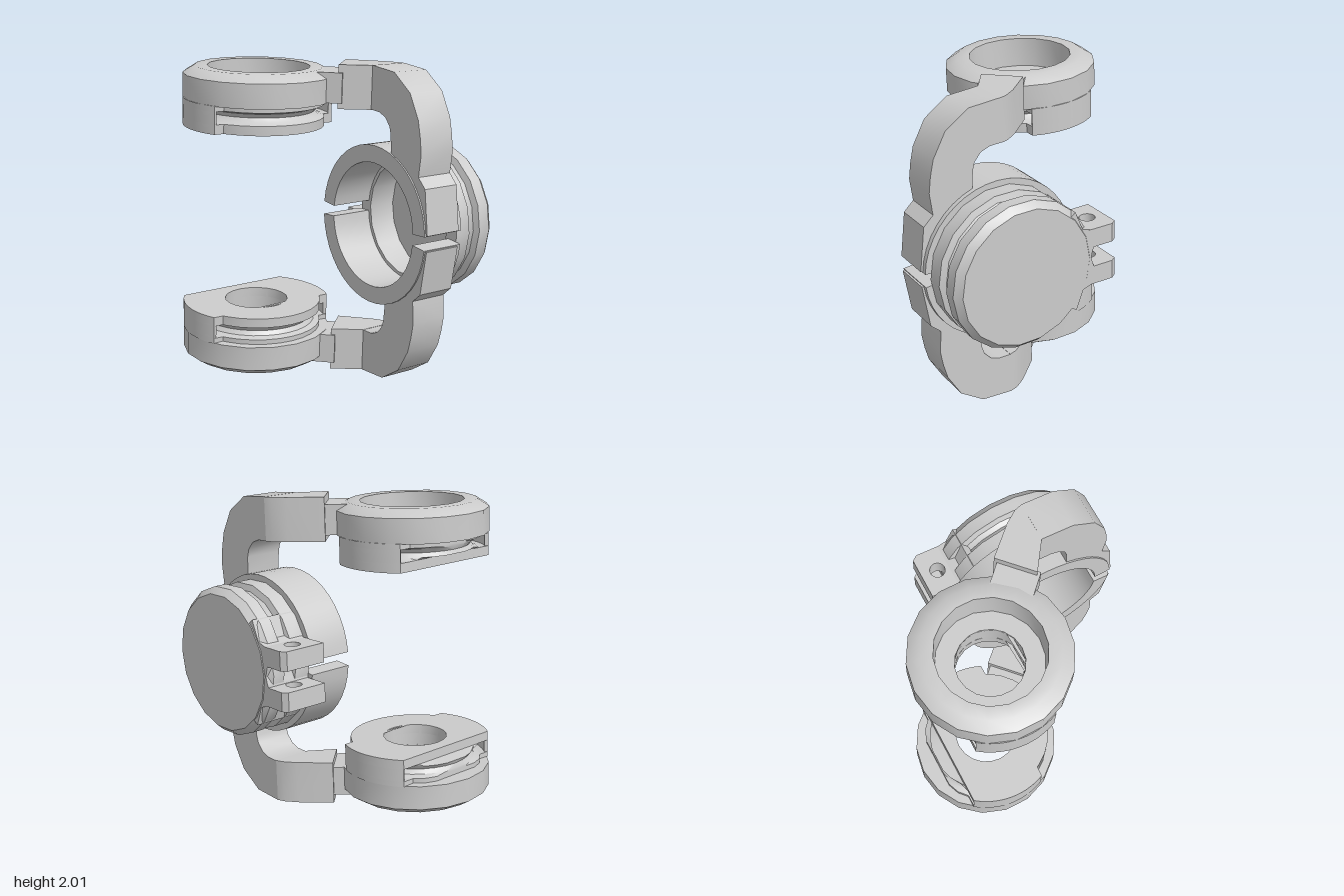
import * as THREE from 'three';
import { toCreasedNormals } from 'three/addons/utils/BufferGeometryUtils.js';

const HUB_Z = 0.31;                 // centre of the side hub
const RING_X = -0.29, RING_Z = -0.32; // centre of the two clamp rings
const pts = (list) => list.map(([a, b]) => new THREE.Vector2(a, b));
const polygon = (list) => new THREE.Shape(pts(list));

// Shape drawn in (z, y), extruded along x
function extrudeX(shape, x0, x1) {
  const g = new THREE.ExtrudeGeometry(shape, { depth: x1 - x0, bevelEnabled: false, curveSegments: 10 });
  return g.rotateY(-Math.PI / 2).translate(x1, 0, 0);
}

// Shape drawn in (x, -z), extruded along y
function extrudeY(shape, y0, y1) {
  const g = new THREE.ExtrudeGeometry(shape, { depth: y1 - y0, bevelEnabled: false, curveSegments: 10 });
  return g.rotateX(-Math.PI / 2).translate(0, y0, 0);
}

function circleHole(x, y, r) {
  const p = new THREE.Path();
  p.absarc(x, y, r, 0, Math.PI * 2, true);
  return p;
}

// Part of a flat ring between two angles
function sector(rIn, rOut, a0, a1) {
  const s = new THREE.Shape();
  s.absarc(0, 0, rOut, a0, a1, false);
  s.absarc(0, 0, rIn, a1, a0, true);
  s.closePath();
  return s;
}

// Mirror a non-indexed geometry in y and restore the corner order
function mirrorY(geometry) {
  const g = geometry.clone().scale(1, -1, 1);
  for (const key of ['position', 'normal']) {
    const a = g.attributes[key].array;
    for (let i = 0; i < a.length; i += 9) {
      for (let k = 3; k < 6; k++) [a[i + k], a[i + k + 3]] = [a[i + k + 3], a[i + k]];
    }
  }
  return g;
}

export function createModel() {
  const material = new THREE.MeshStandardMaterial({ color: 0xcccccc });
  const model = new THREE.Group();
  model.name = 'clampBracket';
  const body = new THREE.Group();
  body.name = 'bracketBody';
  body.position.y = 1;
  body.rotation.x = 0.042;
  model.add(body);

  const add = (name, geometry) => {
    const g = toCreasedNormals(geometry, 0.6);
    g.deleteAttribute('uv');
    const mesh = new THREE.Mesh(g, material);
    mesh.name = name;
    body.add(mesh);
    return g;
  };
  // Everything but the hub disc comes as an upper and a lower copy
  const addPair = (name, geometry) => {
    const g = add('upper' + name, geometry);
    const mesh = new THREE.Mesh(mirrorY(g), material);
    mesh.name = 'lower' + name;
    body.add(mesh);
  };

  // Hub disc: closed outside, bored from the inside, with a strap groove
  const disc = new THREE.LatheGeometry(pts([
    [0, 0.64], [0.38, 0.64], [0.38, 0.45], [0.475, 0.45], [0.475, 0.555],
    [0.435, 0.568], [0.415, 0.595], [0.435, 0.625], [0.475, 0.64],
    [0.475, 0.72], [0.435, 0.765], [0, 0.765],
  ]), 18);
  add('hubDisc', disc.rotateZ(-Math.PI / 2).translate(0, 0, HUB_Z));

  // Split collar behind the disc
  const gap = 0.085;
  addPair('Collar', extrudeX(sector(0.4, 0.51, gap, Math.PI - gap), 0.16, 0.452).translate(0, 0, HUB_Z));

  // Pierced lugs beside the slot of the hub, and their flared roots
  const lug = polygon([[0.46, 0.11], [0.76, 0.11], [0.765, 0.29], [0.74, 0.325], [0.46, 0.325]]);
  lug.holes.push(circleHole(0.61, 0.215, 0.05));
  addPair('Lug', extrudeY(lug, 0.065, 0.185));
  addPair('LugRoot', extrudeX(polygon([
    [-0.14, 0], [-0.15, 0.04], [-0.16, 0.066], [-0.14, 0.185], [-0.08, 0.205],
    [-0.03, 0.33], [0.013, 0.297], [-0.07, 0.177], [-0.11, 0],
  ]), 0.46, 0.76));

  // Curved arm rising from a pad on the collar
  addPair('Arm', extrudeX(polygon([
    [0.795, 0.05], [0.83, 0.05], [0.79, 0.33], [0.725, 0.39], [0.74, 0.53], [0.725, 0.63],
    [0.7, 0.73], [0.615, 0.88], [0.46, 0.985], [0.25, 1.0], [0.25, 0.725], [0.33, 0.722],
    [0.39, 0.7], [0.435, 0.65], [0.45, 0.6], [0.46, 0.47], [0.64, 0.36], [0.75, 0.21],
  ]), 0.17, 0.42));

  // Sideways bend of the arm and the neck onto the clamp ring
  addPair('ArmBend', extrudeY(polygon([
    [0.17, -0.25], [0.42, -0.25], [0.405, -0.2], [0.35, -0.12], [0.19, 0.05], [0, -0.13],
  ]), 0.723, 0.999));
  const neck = new THREE.BoxGeometry(0.2, 0.19, 0.26).translate(0.45, 0.855, 0);
  addPair('Neck', neck.rotateY(-Math.PI / 4).translate(RING_X, 0, RING_Z));

  const place = (g) => g.translate(RING_X, 0, RING_Z);

  // Bevelled rim with a stepped bore
  addPair('RingRim', place(new THREE.LatheGeometry(pts([
    [0.205, 0.75], [0.478, 0.757], [0.478, 0.91], [0.405, 0.957], [0.325, 0.957],
    [0.32, 0.77], [0.205, 0.77], [0.205, 0.75],
  ]), 18)));

  // Grooved core, flattened at the back
  const core = new THREE.LatheGeometry(pts([
    [0.205, 0.585], [0.42, 0.585], [0.42, 0.645], [0.38, 0.66], [0.36, 0.685],
    [0.38, 0.712], [0.42, 0.725], [0.42, 0.76], [0.205, 0.76], [0.205, 0.585],
  ]), 30);
  const p = core.attributes.position;
  for (let i = 0; i < p.count; i++) {
    p.setZ(i, Math.max(p.getZ(i), p.getY(i) < 0.65 ? -0.29 : -0.37));
  }
  addPair('RingCore', place(core));

  // Side blocks: two plates joined by outer walls, leaving strap tunnels between
  const a0 = -Math.asin(0.19 / 0.478), a1 = Math.asin(0.29 / 0.478);
  for (const [name, y0, y1] of [['InnerPlate', 0.585, 0.645], ['OuterPlate', 0.725, 0.76]]) {
    const plate = new THREE.Shape();
    plate.absarc(0, 0, 0.478, a0, a1, false);
    plate.absarc(0, 0, 0.478, Math.PI - a1, Math.PI - a0, false);
    plate.closePath();
    plate.holes.push(circleHole(0, 0, 0.205));
    addPair(name, place(extrudeY(plate, y0, y1)));
  }
  addPair('TunnelWallLeft', place(extrudeY(sector(0.455, 0.478, a0, a1), 0.645, 0.725)));
  addPair('TunnelWallRight', place(extrudeY(sector(0.455, 0.478, Math.PI - a1, Math.PI - a0), 0.645, 0.725)));

  return model;
}
